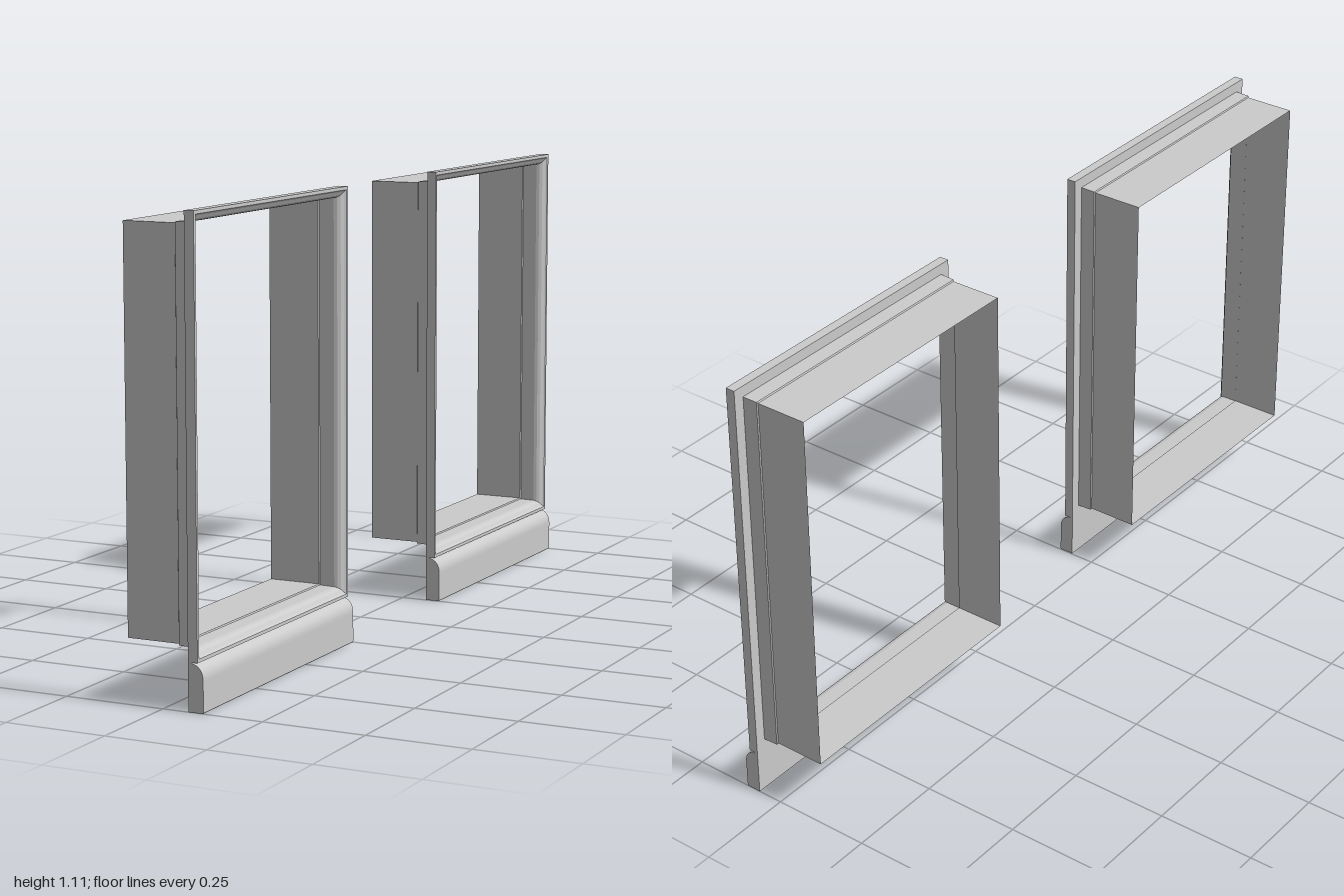
import * as THREE from 'three';

const material = new THREE.MeshStandardMaterial({ color: 0xcccccc, side: THREE.DoubleSide });

// Opening outline in the y/z plane, centred on z = 0
const BOTTOM = 0.113, TOP = 1.111, HALF = 0.374;

// Sweeps a profile of [x, inset] points round the rectangle with mitred corners
function mitredLoop(name, profile) {
  const ring = ([x, i]) => [
    [x, BOTTOM + i, HALF - i], [x, BOTTOM + i, -HALF + i],
    [x, TOP - i, -HALF + i], [x, TOP - i, HALF - i],
  ];
  const positions = [];
  for (let p = 0; p < profile.length - 1; p++) {
    const a = ring(profile[p]), b = ring(profile[p + 1]);
    for (let k = 0; k < 4; k++) {
      const n = (k + 1) % 4;
      positions.push(...a[k], ...b[n], ...a[n], ...a[k], ...b[k], ...b[n]);
    }
  }
  const geometry = new THREE.BufferGeometry();
  geometry.setAttribute('position', new THREE.Float32BufferAttribute(positions, 3));
  geometry.computeVertexNormals();
  const mesh = new THREE.Mesh(geometry, material);
  mesh.name = name;
  return mesh;
}

// Sill with a rounded front top edge, extruded along z
function sill() {
  const shape = new THREE.Shape();
  shape.moveTo(0.065, 0);
  shape.lineTo(0.101, 0);
  shape.lineTo(0.103, 0.003);
  shape.lineTo(0.103, 0.075);
  shape.bezierCurveTo(0.103, 0.094, 0.093, 0.108, 0.075, 0.111);
  shape.lineTo(0.073, 0.113);
  shape.lineTo(0.065, 0.113);
  const geometry = new THREE.ExtrudeGeometry(shape, { depth: 2 * HALF, bevelEnabled: false, curveSegments: 8 });
  geometry.translate(0, 0, -HALF);
  const mesh = new THREE.Mesh(geometry, material);
  mesh.name = 'sill';
  return mesh;
}

function windowFrame() {
  const frame = new THREE.Group();
  // Thin lining of the wall opening, slightly wider near the trim
  frame.add(mitredLoop('lining', [[0.065, 0.027], [0.027, 0.028], [0.025, 0.031], [-0.106, 0.031]]));
  // Raised trim with a sloping inner face
  frame.add(mitredLoop('trim', [
    [0.065, 0.027], [0.065, 0], [0.089, 0], [0.089, 0.008],
    [0.085, 0.012], [0.08, 0.02], [0.073, 0.025], [0.065, 0.027],
  ]));
  frame.add(sill());
  return frame;
}

export function createModel() {
  const model = new THREE.Group();
  model.name = 'windowFrames';
  for (const side of [1, -1]) {
    const frame = windowFrame();
    frame.name = side > 0 ? 'frontWindow' : 'backWindow';
    frame.position.z = side * (1 - HALF);
    model.add(frame);
  }
  return model;
}
